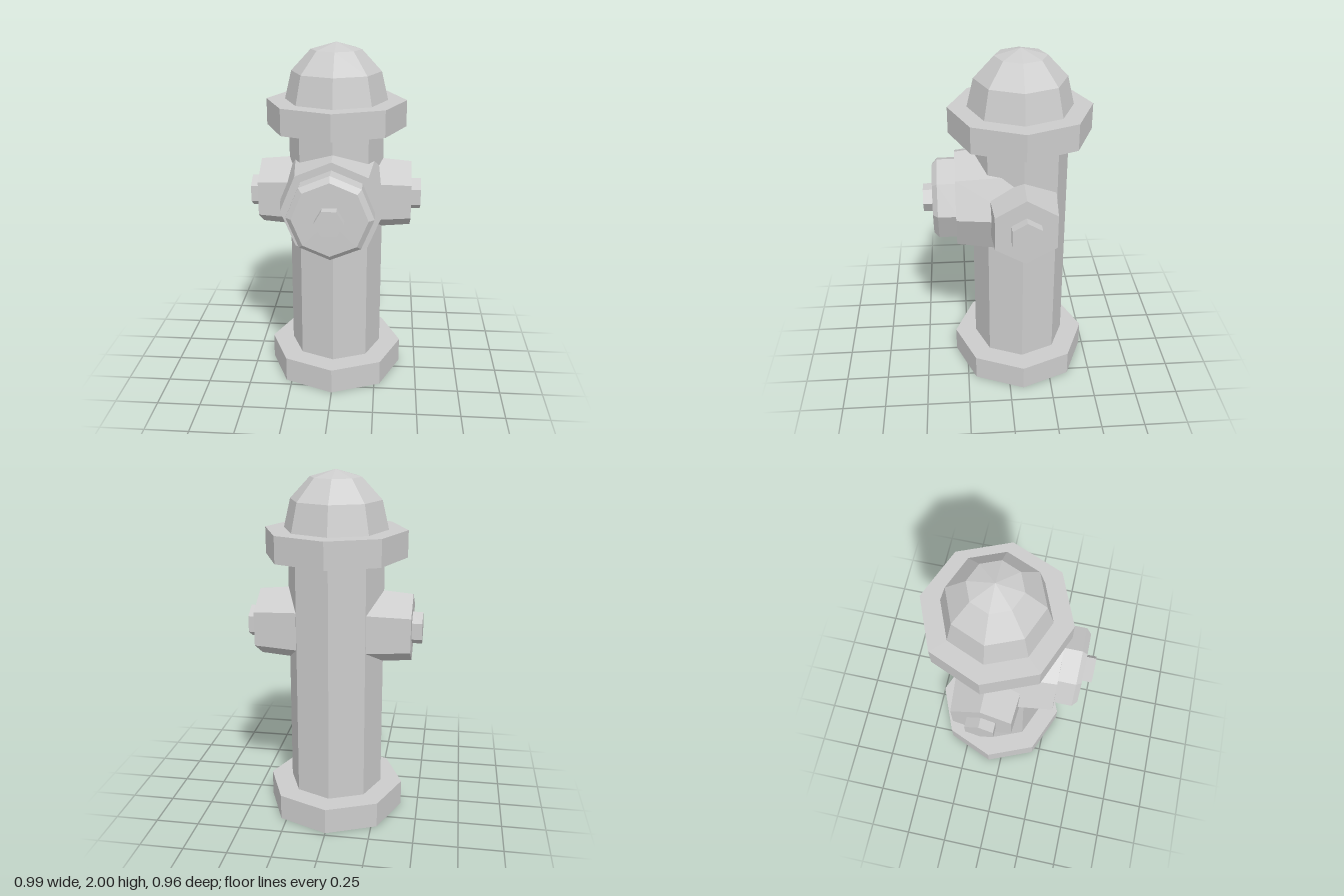
import * as THREE from 'three';

const material = new THREE.MeshStandardMaterial({ color: 0xcccccc, flatShading: true });
const AXIS_Z = -0.08; // centre line of the barrel
const NOZZLE_Y = 1.13;

function addMesh(parent, name, geometry) {
  const mesh = new THREE.Mesh(geometry, material);
  mesh.name = name;
  parent.add(mesh);
  return mesh;
}

// Prism or frustum standing between two heights, one corner on +z (or +x when turned)
function prism(sides, rBottom, rTop, from, to, turn = 0) {
  return new THREE.CylinderGeometry(rTop, rBottom, to - from, sides)
    .rotateY(turn)
    .translate(0, (from + to) / 2, 0);
}

export function createModel() {
  const model = new THREE.Group();
  model.name = 'hydrant';

  // Upright barrel with flanges and faceted dome
  const column = new THREE.Group();
  column.name = 'column';
  column.position.z = AXIS_Z;
  model.add(column);
  addMesh(column, 'baseFlange', prism(8, 0.4, 0.4, 0, 0.15));
  addMesh(column, 'barrel', prism(8, 0.273, 0.273, 0.14, 1.54));
  addMesh(column, 'topFlange', prism(8, 0.4, 0.4, 1.53, 1.68));
  const domeProfile = [[0.293, 1.68], [0.255, 1.84], [0.143, 1.96], [0, 2]]
    .map(([r, y]) => new THREE.Vector2(r, y));
  addMesh(column, 'dome', new THREE.LatheGeometry(domeProfile, 8));

  // Large front outlet: built along y, then tipped forward to +z
  const front = new THREE.Group();
  front.name = 'frontOutlet';
  front.position.y = NOZZLE_Y;
  front.rotation.x = Math.PI / 2;
  model.add(front);
  addMesh(front, 'frontNozzle', prism(8, 0.333, 0.283, AXIS_Z, 0.29));
  addMesh(front, 'frontCap', prism(8, 0.239, 0.239, 0.28, 0.39));
  addMesh(front, 'frontCapBevel', prism(8, 0.239, 0.208, 0.39, 0.418));
  addMesh(front, 'frontNut', prism(6, 0.08, 0.08, 0.41, 0.475, Math.PI / 6));

  // Matching side outlets, tipped towards +x and -x
  for (const [side, name] of [[1, 'left'], [-1, 'right']]) {
    const outlet = new THREE.Group();
    outlet.name = name + 'Outlet';
    outlet.position.set(0, NOZZLE_Y, AXIS_Z);
    outlet.rotation.z = -side * Math.PI / 2;
    model.add(outlet);
    addMesh(outlet, name + 'Nozzle', prism(6, 0.225, 0.195, 0.1, 0.438, Math.PI / 6));
    addMesh(outlet, name + 'Nut', prism(6, 0.093, 0.093, 0.43, 0.495, Math.PI / 6));
  }

  return model;
}
